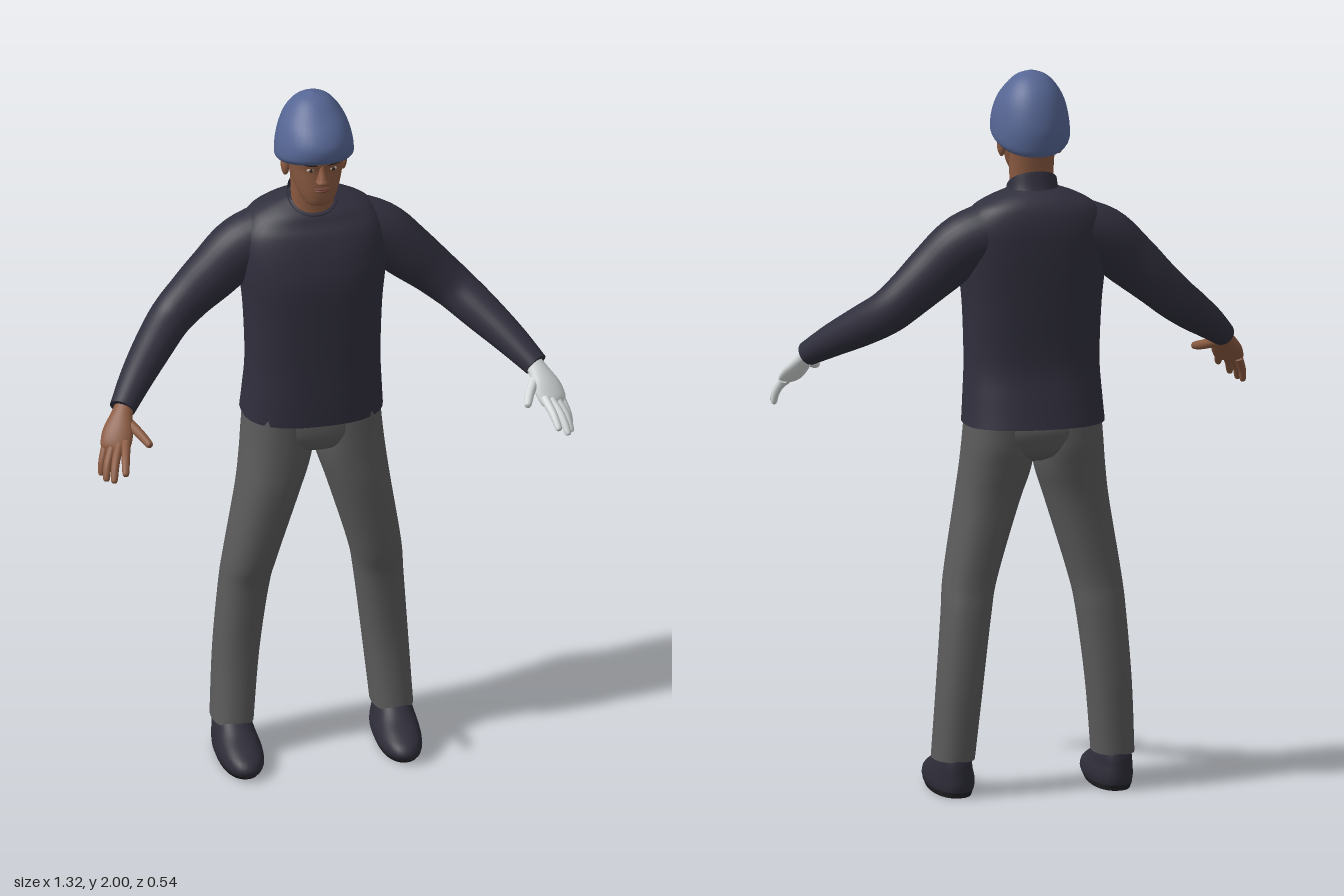
import * as THREE from 'three';

const mat = (name, color, extra = {}) => {
  const m = new THREE.MeshStandardMaterial({ color, ...extra });
  m.name = name;
  return m;
};

// Smooth interpolation of rows of numbers
function smoothRows(rows, steps) {
  const out = [];
  const at = (i) => rows[Math.min(Math.max(i, 0), rows.length - 1)];
  for (let i = 0; i < rows.length - 1; i++) {
    const [p, q, r, s] = [at(i - 1), at(i), at(i + 1), at(i + 2)];
    for (let k = 0; k < steps; k++) {
      const t = k / steps;
      out.push(q.map((b, c) => 0.5 * (2 * b + (r[c] - p[c]) * t
        + (2 * p[c] - 5 * b + 4 * r[c] - s[c]) * t * t
        + (3 * b - p[c] - 3 * r[c] + s[c]) * t ** 3)));
    }
  }
  out.push(rows[rows.length - 1]);
  return out;
}

// Surface through closed rings of points, with flat end caps
function skin(rings, caps = true) {
  const n = rings[0].length, pos = [], idx = [];
  rings.forEach((r) => r.forEach((p) => pos.push(p.x, p.y, p.z)));
  for (let i = 0; i < rings.length - 1; i++) {
    for (let j = 0; j < n; j++) {
      const a = i * n + j, b = i * n + (j + 1) % n;
      idx.push(a, b, b + n, a, b + n, a + n);
    }
  }
  if (caps) [rings[0], rings[rings.length - 1]].forEach((ring, end) => {
    const base = pos.length / 3, c = new THREE.Vector3();
    ring.forEach((p) => { pos.push(p.x, p.y, p.z); c.addScaledVector(p, 1 / n); });
    pos.push(c.x, c.y, c.z);
    for (let j = 0; j < n; j++) {
      const a = base + j, b = base + (j + 1) % n;
      idx.push(base + n, end ? a : b, end ? b : a);
    }
  });
  const g = new THREE.BufferGeometry();
  g.setAttribute('position', new THREE.Float32BufferAttribute(pos, 3));
  g.setIndex(idx);
  g.computeVertexNormals();
  return g;
}

const N = 36;
const angles = (n) => Array.from({ length: n }, (_, j) => (j / n) * Math.PI * 2);

// Stack of level rounded rings; rows are [y, x0, x1, z0, z1] going up
function stack(rows, { power = 2.3, warp, caps = true } = {}) {
  const pw = (v) => Math.sign(v) * Math.abs(v) ** (2 / power);
  return skin(smoothRows(rows, 5).map(([y, x0, x1, z0, z1]) => angles(N).map((t) => {
    const p = new THREE.Vector3((x0 + x1) / 2 + pw(Math.sin(t)) * (x1 - x0) / 2, y,
      (z0 + z1) / 2 + pw(Math.cos(t)) * (z1 - z0) / 2);
    if (warp) warp(p);
    return p;
  })), caps);
}
// The same, symmetric about x = 0; rows are [y, halfWidth, z0, z1]
const symStack = (rows, o) => stack(rows.map(([y, w, a, b]) => [y, -w, w, a, b]), o);

// Limb along a path; rows are [x, y, z, radius across, radius upright]
function limb(rows, side = 1, n = 20) {
  const pts = smoothRows(rows.map(([x, ...r]) => [x * side, ...r]), 5);
  const up = new THREE.Vector3(0, 1, 0);
  const V = (r) => new THREE.Vector3(r[0], r[1], r[2]);
  return skin(pts.map((r, i) => {
    const T = V(pts[Math.min(i + 1, pts.length - 1)]).sub(V(pts[Math.max(i - 1, 0)])).normalize();
    const A = up.clone().cross(T).normalize(), B = T.clone().cross(A);
    return angles(n).map((t) => V(r).addScaledVector(A, Math.cos(t) * r[3]).addScaledVector(B, Math.sin(t) * r[4]));
  }));
}

export function createModel() {
  const root = new THREE.Group();
  root.name = 'standingMan';
  const skinMat = mat('brownSkin', 0x8a5a41);
  const sweater = mat('navySweater', 0x302f3d, { side: THREE.DoubleSide });
  const trousers = mat('greyTrousers', 0x5b5b5b);
  const hatMat = mat('blueHat', 0x566694);
  const gloveMat = mat('whiteGlove', 0xd6dada);
  const shoeMat = mat('darkShoe', 0x2e2d39);
  const soleMat = mat('blackSole', 0x222226);
  const browMat = mat('darkBrow', 0x2b1c16);
  const lipMat = mat('lip', 0x6e4034);
  const eyeMat = mat('eyeWhite', 0xa89a90);

  const add = (name, geo, material, parent = root) => {
    const m = new THREE.Mesh(geo, material);
    m.name = name;
    parent.add(m);
    return m;
  };
  const blob = (name, material, p, s, parent = root) => {
    const m = add(name, new THREE.SphereGeometry(1, 16, 12), material, parent);
    m.position.set(...p);
    m.scale.set(...s);
    return m;
  };

  // Sweater body and slanted collar
  add('sweaterBody', symStack([
    [1.03, 0.195, -0.265, 0.018], [1.1, 0.19, -0.25, 0.02], [1.2, 0.185, -0.232, 0.02],
    [1.35, 0.19, -0.238, 0.022], [1.45, 0.2, -0.243, 0.022], [1.52, 0.205, -0.245, 0.01],
    [1.58, 0.2, -0.243, -0.01], [1.63, 0.17, -0.232, -0.035], [1.66, 0.12, -0.213, -0.05],
    [1.68, 0.068, -0.185, -0.075],
  ], { power: 2.5, warp: (p) => { if (p.y > 1.6) p.y -= (p.y - 1.6) * 4 * Math.max(0, p.z + 0.11); } }), sweater);
  add('collar', symStack([
    [1.62, 0.1, -0.21, -0.035], [1.655, 0.075, -0.182, -0.045], [1.69, 0.068, -0.167, -0.048],
  ], { caps: false, warp: (p) => { p.y -= (p.y - 1.62) * 10 * (p.z + 0.11); } }), sweater);

  // Neck and head
  add('neck', symStack([
    [1.58, 0.064, -0.16, -0.055], [1.66, 0.059, -0.157, -0.055], [1.72, 0.06, -0.158, -0.05],
    [1.8, 0.064, -0.168, -0.05],
  ]), skinMat);
  const head = new THREE.Group();
  head.name = 'head';
  root.add(head);
  add('skull', symStack([
    [1.698, 0.026, -0.055, -0.006], [1.708, 0.041, -0.085, 0.006], [1.735, 0.057, -0.13, 0.012],
    [1.77, 0.068, -0.16, 0.014], [1.81, 0.076, -0.178, 0.014], [1.845, 0.08, -0.188, 0.02],
    [1.9, 0.075, -0.18, 0.003], [1.94, 0.05, -0.15, -0.04],
  ]), skinMat, head);
  add('nose', symStack([
    [1.774, 0.012, -0.005, 0.022], [1.782, 0.018, -0.005, 0.037], [1.795, 0.013, -0.005, 0.033],
    [1.815, 0.009, -0.005, 0.024], [1.835, 0.009, -0.005, 0.018],
  ]), skinMat, head);
  blob('upperLip', lipMat, [0, 1.759, 0.012], [0.024, 0.004, 0.009], head);
  blob('lowerLip', lipMat, [0, 1.752, 0.011], [0.02, 0.005, 0.009], head);
  for (const s of [-1, 1]) {
    blob('ear', skinMat, [s * 0.08, 1.795, -0.09], [0.012, 0.034, 0.022], head);
    blob('eye', eyeMat, [s * 0.031, 1.818, 0.009], [0.012, 0.005, 0.006], head);
    blob('iris', browMat, [s * 0.031, 1.818, 0.012], [0.005, 0.005, 0.005], head);
    const brow = blob('brow', browMat, [s * 0.033, 1.836, 0.013], [0.021, 0.004, 0.006], head);
    brow.rotation.set(0, s * 0.2, s * 0.12);
  }

  // Knitted hat, lower at the back
  add('hat', symStack([
    [1.808, 0.096, -0.203, 0.028], [1.825, 0.107, -0.212, 0.037], [1.87, 0.104, -0.217, 0.037],
    [1.92, 0.091, -0.202, 0.013], [1.96, 0.068, -0.175, -0.026], [1.987, 0.04, -0.143, -0.062],
    [2.0, 0.003, -0.105, -0.099],
  ], { power: 2.1, warp: (p) => { p.y += 0.28 * (p.z + 0.09) * Math.min(1, Math.max(0, (1.95 - p.y) / 0.14)); } }), hatMat);

  // Pelvis joining the legs
  add('pelvis', symStack([
    [0.925, 0.05, -0.17, -0.05], [0.945, 0.12, -0.215, -0.015], [0.98, 0.178, -0.236, 0],
    [1.02, 0.188, -0.245, 0.003], [1.06, 0.18, -0.235, 0.0],
  ]), trousers);

  for (const s of [-1, 1]) {
    const label = s > 0 ? 'left' : 'right';
    const mir = (rows) => rows.map(([y, a, b, c, d]) => [y, ...(s > 0 ? [a, b] : [-b, -a]), c, d]);

    // Trouser leg, shoe and sole
    add(label + 'Leg', stack(mir([
      [0.1, 0.165, 0.28, -0.2, -0.04], [0.3, 0.145, 0.27, -0.21, -0.06], [0.5, 0.12, 0.255, -0.205, -0.048],
      [0.6, 0.1, 0.245, -0.197, -0.025], [0.8, 0.04, 0.213, -0.205, -0.002], [0.9, 0.008, 0.2, -0.222, 0],
      [0.97, 0, 0.193, -0.236, 0], [1.05, 0, 0.186, -0.24, 0],
    ])), trousers);
    add(label + 'Shoe', stack(mir([
      [0.015, 0.162, 0.28, -0.203, 0.092], [0.03, 0.158, 0.283, -0.206, 0.099], [0.05, 0.16, 0.282, -0.206, 0.085],
      [0.068, 0.166, 0.279, -0.205, 0.05], [0.09, 0.172, 0.274, -0.203, -0.005], [0.12, 0.18, 0.268, -0.196, -0.055],
    ])), shoeMat);
    add(label + 'Sole', stack(mir([
      [0, 0.168, 0.275, -0.196, 0.075], [0.016, 0.162, 0.281, -0.204, 0.094],
    ])), soleMat);

    // Sleeve
    add(label + 'Sleeve', limb([
      [0.09, 1.57, -0.14, 0.085, 0.085], [0.19, 1.533, -0.135, 0.08, 0.084], [0.27, 1.464, -0.127, 0.07, 0.077],
      [0.34, 1.4, -0.122, 0.062, 0.067], [0.398, 1.347, -0.105, 0.058, 0.061], [0.455, 1.3, -0.05, 0.054, 0.056],
      [0.52, 1.247, 0.025, 0.046, 0.046], [0.577, 1.195, 0.098, 0.036, 0.034],
    ], s, 28), sweater);

    // Hand: palm, four fingers and thumb
    const hand = new THREE.Group();
    hand.name = label + 'Hand';
    root.add(hand);
    const m = s > 0 ? gloveMat : skinMat;
    add('palm', limb([
      [0.563, 1.21, 0.082, 0.025, 0.024], [0.58, 1.185, 0.11, 0.03, 0.022], [0.598, 1.15, 0.14, 0.043, 0.021],
      [0.611, 1.118, 0.165, 0.042, 0.016], [0.616, 1.106, 0.174, 0.032, 0.008],
    ], s), m, hand);
    const digits = {
      indexFinger: [[0.584, 1.13, 0.176], [0.596, 1.108, 0.225], [0.604, 1.08, 0.262]],
      middleFinger: [[0.602, 1.122, 0.172], [0.622, 1.092, 0.215], [0.633, 1.056, 0.248]],
      ringFinger: [[0.62, 1.115, 0.163], [0.64, 1.08, 0.196], [0.648, 1.046, 0.217]],
      littleFinger: [[0.636, 1.112, 0.15], [0.65, 1.075, 0.17], [0.654, 1.045, 0.18]],
      thumb: [[0.572, 1.17, 0.12], [0.544, 1.15, 0.172], [0.528, 1.138, 0.216]],
    };
    for (const [name, pts] of Object.entries(digits)) {
      const [a, b, c] = pts, k = name === 'thumb' ? 1.15 : name === 'littleFinger' ? 0.9 : 1;
      const tip = c.map((v, i) => v + (c[i] - b[i]) * 0.14);
      add(name, limb([
        [...a, 0.013 * k, 0.013 * k], [...b, 0.0115 * k, 0.0115 * k],
        [...c, 0.009 * k, 0.009 * k], [...tip, 0.002, 0.002],
      ], s, 12), m, hand);
    }
  }
  return root;
}
